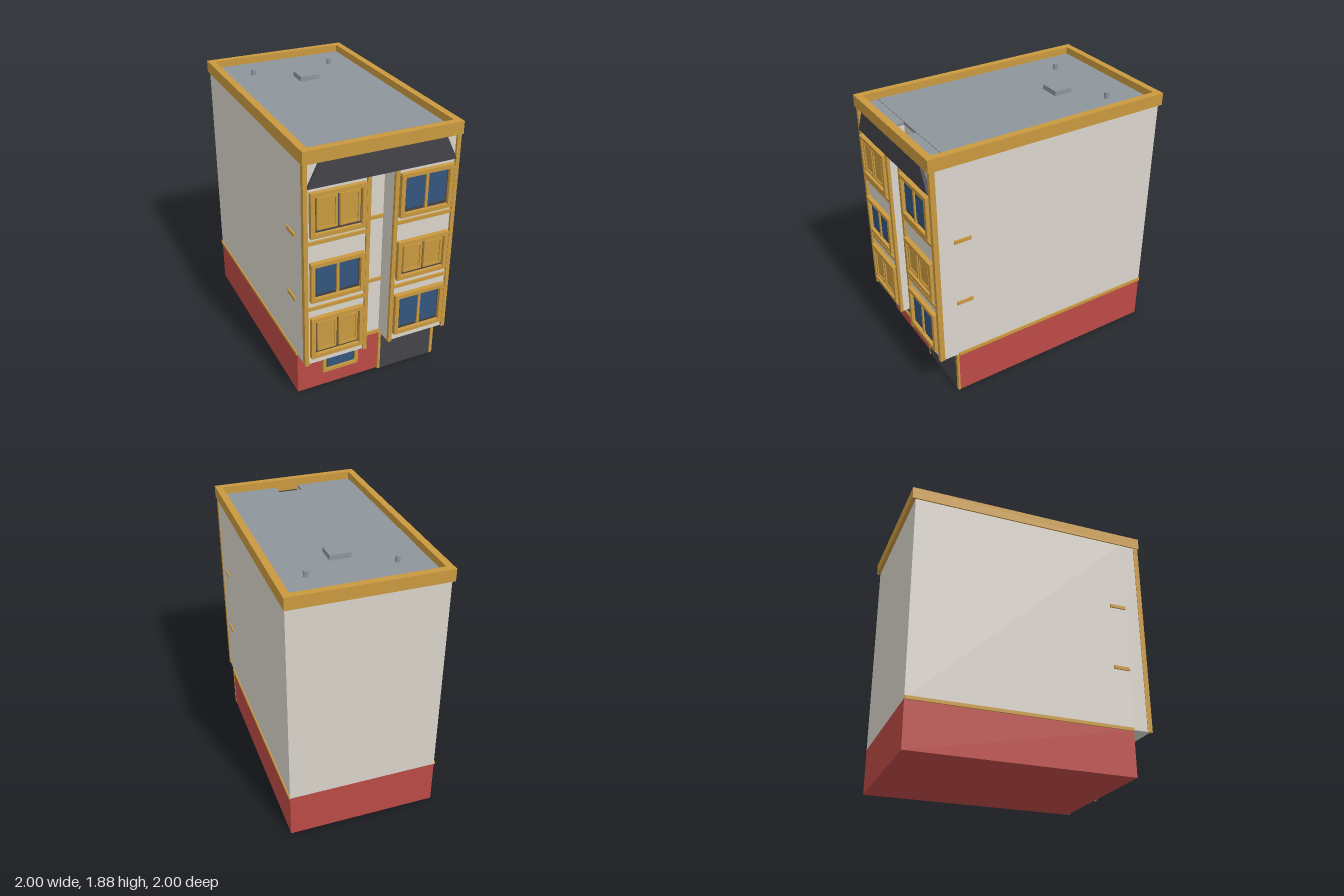
import * as THREE from 'three';

const mat = (name, color) => {
  const m = new THREE.MeshStandardMaterial({ color });
  m.name = name;
  return m;
};

export function createModel() {
  const wall = mat('plaster', 0xd9d4cb);
  const red = mat('red base', 0xbb4a45);
  const gold = mat('ochre trim', 0xc9993f);
  const glass = mat('blue glass', 0x33557f);
  const slate = mat('dark slate', 0x434349);
  const roofGrey = mat('roof grey', 0x8e959b);

  const model = new THREE.Group();
  model.name = 'townhouse';
  // The house stands diagonally: its facade is local +z
  const house = new THREE.Group();
  house.name = 'house';
  house.rotation.y = Math.PI / 4;
  model.add(house);

  const add = (name, geo, material, parent = house) => {
    const m = new THREE.Mesh(geo, material);
    m.name = name;
    parent.add(m);
    return m;
  };
  // Box given by its limits on each axis
  const box = (name, material, x0, x1, y0, y1, z0, z1, parent = house) => {
    const g = new THREE.BoxGeometry(x1 - x0, y1 - y0, z1 - z0);
    g.translate((x0 + x1) / 2, (y0 + y1) / 2, (z0 + z1) / 2);
    return add(name, g, material, parent);
  };
  const rectPath = (p, hx, hy) => {
    p.moveTo(-hx, -hy);
    p.lineTo(hx, -hy);
    p.lineTo(hx, hy);
    p.lineTo(-hx, hy);
    p.closePath();
    return p;
  };
  // Rectangular frame in the xy plane, extruded towards +z
  const frameGeo = (hx, hy, border, depth) => {
    const s = rectPath(new THREE.Shape(), hx, hy);
    s.holes.push(rectPath(new THREE.Path(), hx - border, hy - border));
    return new THREE.ExtrudeGeometry(s, { depth, bevelEnabled: false });
  };

  const W = 0.527, BACK = -0.852, FRONT = 0.725, BAY = 0.852, GAP = 0.085;

  // Main volumes
  box('base', red, -W, W, 0, 0.325, BACK, FRONT);
  box('mainBody', wall, -W, W, 0.325, 1.8, BACK, FRONT);
  box('mainRoof', roofGrey, -0.5, 0.5, 1.8, 1.825, -0.84, FRONT);
  box('recessBand', gold, -GAP, GAP, 0.32, 0.345, FRONT, FRONT + 0.01);

  // Cornice ring around the roof
  const cornice = frameGeo(0.537, 0.877, 0.048, 0.085);
  cornice.rotateX(-Math.PI / 2);
  cornice.translate(0, 1.79, 0);
  add('cornice', cornice, gold);

  // Roof hatch and vents
  box('roofHatch', roofGrey, -0.035, 0.11, 1.82, 1.86, -0.44, -0.305);
  for (const x of [-0.286, 0.311]) {
    const g = new THREE.CylinderGeometry(0.018, 0.018, 0.045, 8);
    g.translate(x, 1.843, -0.582);
    add('roofVent', g, roofGrey);
  }

  // Window: frame, dark backing and two leaves, either glass or shutters
  const addWindow = (x, y, w, h, z, shut) => {
    const g = new THREE.Group();
    g.name = shut ? 'shutteredWindow' : 'glassWindow';
    g.position.set(x, y, z);
    house.add(g);
    const hx = w / 2, hy = h / 2, b = 0.028;
    add('frame', frameGeo(hx, hy, b, 0.032), gold, g);
    box('backing', slate, -hx + b, hx - b, -hy + b, hy - b, 0, 0.008, g);
    const ix = hx - b - 0.014, iy = hy - b;
    for (const s of [-1, 1]) {
      const a = s * 0.008, c = s * ix;
      const x0 = Math.min(a, c), x1 = Math.max(a, c);
      box(shut ? 'shutter' : 'pane', shut ? gold : glass,
        x0, x1, -iy + 0.025, iy - 0.008, 0.008, shut ? 0.02 : 0.014, g);
      if (shut) {
        const f = add('shutterRim', frameGeo((x1 - x0) / 2, iy - 0.017, 0.015, 0.008), gold, g);
        f.position.set((x0 + x1) / 2, 0.0085, 0.02);
      }
    }
    if (!shut) box('mullion', gold, -0.009, 0.009, -iy + 0.01, iy, 0.008, 0.024, g);
  };

  // Two projecting bays with trims and windows
  const rows = [[0.547, 0.315], [0.972, 0.285], [1.448, 0.305]];
  for (const s of [-1, 1]) {
    const span = (a, b) => (s > 0 ? [a, b] : [-b, -a]);
    box('bay', wall, ...span(GAP, W), 0.33, 1.8, FRONT, BAY);
    box('bayRoof', roofGrey, ...span(GAP, 0.5), 1.8, 1.82, FRONT, 0.84);
    box('outerPost', gold, ...span(W - 0.024, W + 0.004), 0.33, 1.79, BAY - 0.02, BAY + 0.016);
    box('innerPost', gold, ...span(GAP - 0.002, GAP + 0.024), 0.33, 1.64, BAY - 0.005, BAY + 0.016);
    box('sideBand', gold, ...span(W, W + 0.009), 0.32, 0.343, BACK, FRONT);
    for (const y of [0.772, 1.253]) {
      box('bayBand', gold, ...span(GAP, W), y - 0.012, y + 0.012, BAY, BAY + 0.012);
      box('sideStub', gold, ...span(W, W + 0.01), y - 0.012, y + 0.012, 0.605, FRONT);
    }
    rows.forEach(([y, h], i) =>
      addWindow(s * 0.304, y, 0.37, h, BAY, (i % 2 === 0) === (s < 0)));
  }
  for (const y of [0.772, 1.253])
    box('recessBand', gold, -GAP, GAP, y - 0.012, y + 0.012, FRONT, FRONT + 0.012);

  // Slate canopy below the cornice
  const c = new THREE.Shape();
  c.moveTo(-0.505, 1.63);
  c.lineTo(0.505, 1.63);
  c.lineTo(0.426, 1.79);
  c.lineTo(-0.426, 1.79);
  c.closePath();
  const canopy = new THREE.ExtrudeGeometry(c, { depth: 0.024, bevelEnabled: false });
  canopy.translate(0, 0, BAY - 0.001);
  add('canopy', canopy, slate);
  box('recessCover', slate, -GAP, GAP, 1.63, 1.72, FRONT, BAY);

  // Ground floor window
  const gw = add('lowWindowFrame', frameGeo(0.132, 0.082, 0.024, 0.02), gold);
  gw.position.set(-0.213, 0.2, FRONT);
  box('lowWindowBacking', slate, -0.321, -0.105, 0.142, 0.258, FRONT, FRONT + 0.005);
  box('lowWindowPane', glass, -0.311, -0.115, 0.147, 0.253, FRONT + 0.005, FRONT + 0.01);

  // Entrance: posts, door and stepped arch
  box('doorPost', gold, 0.08, 0.098, 0, 0.325, FRONT, FRONT + 0.016);
  box('doorPost', gold, 0.506, 0.53, 0, 0.325, FRONT, FRONT + 0.016);
  const d = new THREE.Shape();
  d.moveTo(0.098, 0);
  d.lineTo(0.506, 0);
  d.lineTo(0.506, 0.225);
  d.lineTo(0.485, 0.245);
  d.lineTo(0.119, 0.245);
  d.lineTo(0.098, 0.225);
  d.closePath();
  const door = new THREE.ExtrudeGeometry(d, { depth: 0.014, bevelEnabled: false });
  door.translate(0, 0, FRONT);
  add('door', door, slate);
  for (let i = 0; i < 6; i++) {
    const hw = 0.204 * Math.sqrt(1 - (i / 7) ** 2);
    box('archStep', slate, 0.302 - hw, 0.302 + hw, 0.238 + i * 0.012, 0.25 + i * 0.012,
      FRONT, FRONT + 0.01 + i * 0.003);
  }
  return model;
}
